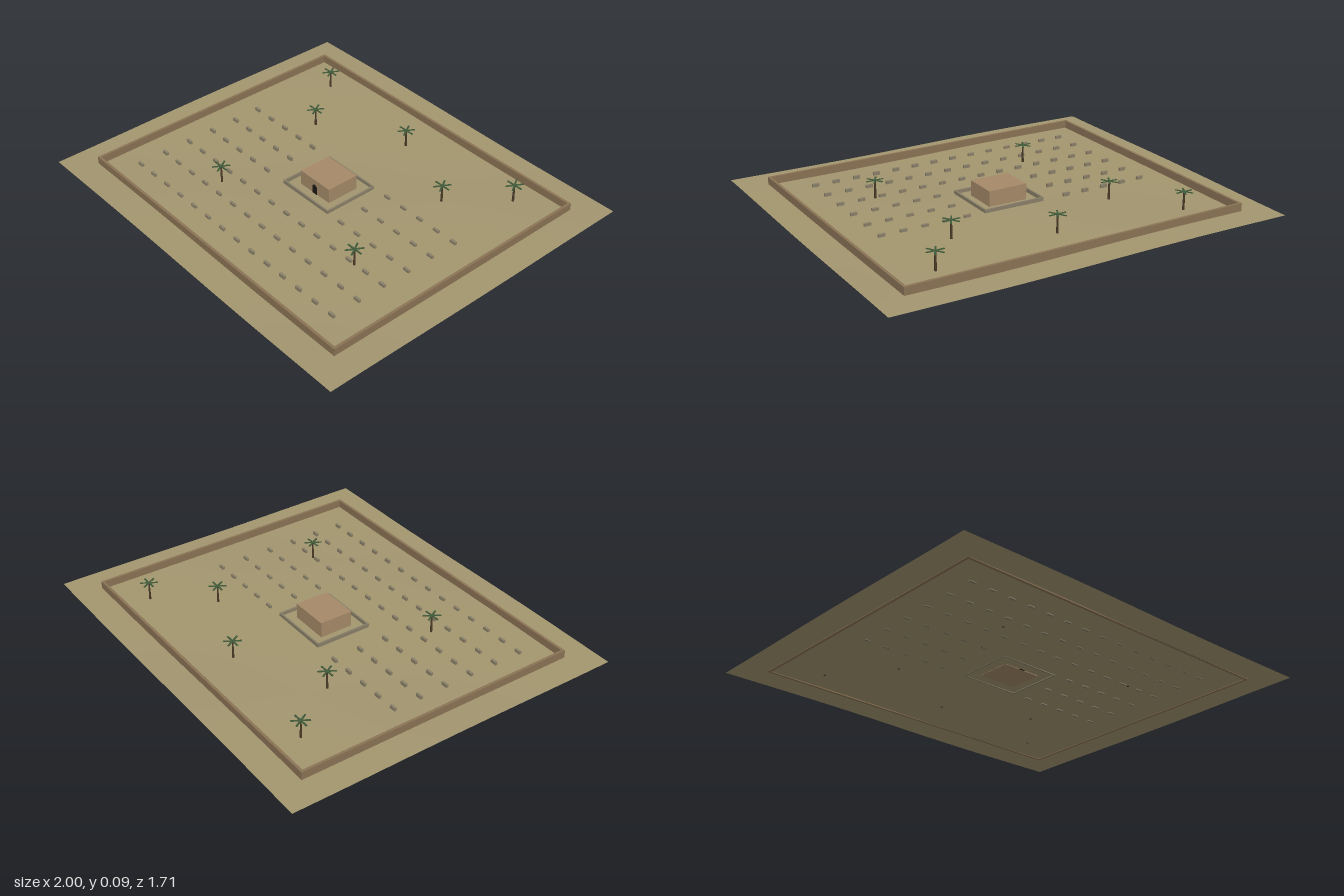
import * as THREE from 'three';

const mat = (color, extra = {}) => new THREE.MeshStandardMaterial({ color, ...extra });
const SAND = mat(0xa3966f, { side: THREE.DoubleSide });
const WALL = mat(0x8b7355);
const CLAY = mat(0xa58a68);
const STONE = mat(0x8a8068);
const BARK = mat(0x4a3b28);
const LEAF = mat(0x3f5a38);
const DARK = mat(0x1c1812);

function add(parent, name, geometry, material, x = 0, y = 0, z = 0) {
  const mesh = new THREE.Mesh(geometry, material);
  mesh.name = name;
  mesh.position.set(x, y, z);
  parent.add(mesh);
  return mesh;
}

// Rectangular ring wall standing on the ground
function ringWall(name, w, d, t, h, material) {
  const group = new THREE.Group();
  group.name = name;
  const long = new THREE.BoxGeometry(w, h, t);
  const side = new THREE.BoxGeometry(t, h, d - 2 * t);
  for (const s of [-1, 1]) {
    add(group, s > 0 ? 'frontWall' : 'backWall', long, material, 0, h / 2, s * (d - t) / 2);
    add(group, s > 0 ? 'leftWall' : 'rightWall', side, material, s * (w - t) / 2, h / 2, 0);
  }
  return group;
}

// Palm with a slim trunk and six flat fronds
function palm(x, z) {
  const group = new THREE.Group();
  group.name = 'palmTree';
  group.position.set(x, 0, z);
  add(group, 'trunk', new THREE.CylinderGeometry(0.004, 0.006, 0.093, 6), BARK, 0, 0.0465, 0);
  const frond = new THREE.BoxGeometry(0.043, 0.003, 0.008);
  frond.translate(0.0215, 0, 0);
  for (let i = 0; i < 6; i++) {
    add(group, 'frond', frond, LEAF, 0, 0.093, 0).rotation.y = i * Math.PI / 3;
  }
  return group;
}

export function createModel() {
  const model = new THREE.Group();
  model.name = 'walledCemetery';

  // Gently uneven ground
  const ground = new THREE.PlaneGeometry(2, 1.714, 28, 24);
  ground.rotateX(-Math.PI / 2);
  const p = ground.attributes.position;
  for (let i = 0; i < p.count; i++) {
    p.setY(i, 0.003 + 0.003 * Math.sin(p.getX(i) * 4) * Math.cos(p.getZ(i) * 4));
  }
  ground.computeVertexNormals();
  add(model, 'ground', ground, SAND);

  // Outer boundary and the low enclosure round the shrine
  model.add(ringWall('boundaryWall', 1.724, 1.436, 0.013, 0.041, WALL));
  model.add(ringWall('innerEnclosure', 0.316, 0.29, 0.008, 0.021, STONE));

  // Shrine building with a round-topped doorway
  const shrine = new THREE.Group();
  shrine.name = 'shrine';
  add(shrine, 'building', new THREE.BoxGeometry(0.2, 0.08, 0.17), CLAY, 0, 0.04, 0);
  const arch = new THREE.Shape();
  arch.moveTo(-0.015, 0);
  arch.lineTo(0.015, 0);
  arch.lineTo(0.015, 0.037);
  arch.absarc(0, 0.037, 0.015, 0, Math.PI);
  arch.closePath();
  add(shrine, 'doorway', new THREE.ExtrudeGeometry(arch, { depth: 0.004, bevelEnabled: false }), DARK, 0, 0, 0.084);
  model.add(shrine);

  // Rows of grave markers, leaving the shrine plot clear
  const graves = new THREE.Group();
  graves.name = 'graveMarkers';
  const marker = new THREE.BoxGeometry(0.033, 0.018, 0.012);
  for (let row = 0; row < 6; row++) {
    for (let col = 0; col < 14; col++) {
      const x = -0.714 + col * 0.1071;
      if (row < 3 && Math.abs(x) < 0.22) continue;
      add(graves, 'graveMarker', marker, STONE, x, 0.009, -0.143 + row * 0.1429);
    }
  }
  model.add(graves);

  // Scattered palms
  const spots = [[-0.643, -0.571], [0, -0.5], [0.643, -0.571], [-0.429, -0.286],
    [0.429, -0.318], [-0.357, 0.357], [0.5, 0.286]];
  for (const [x, z] of spots) model.add(palm(x, z));

  return model;
}
